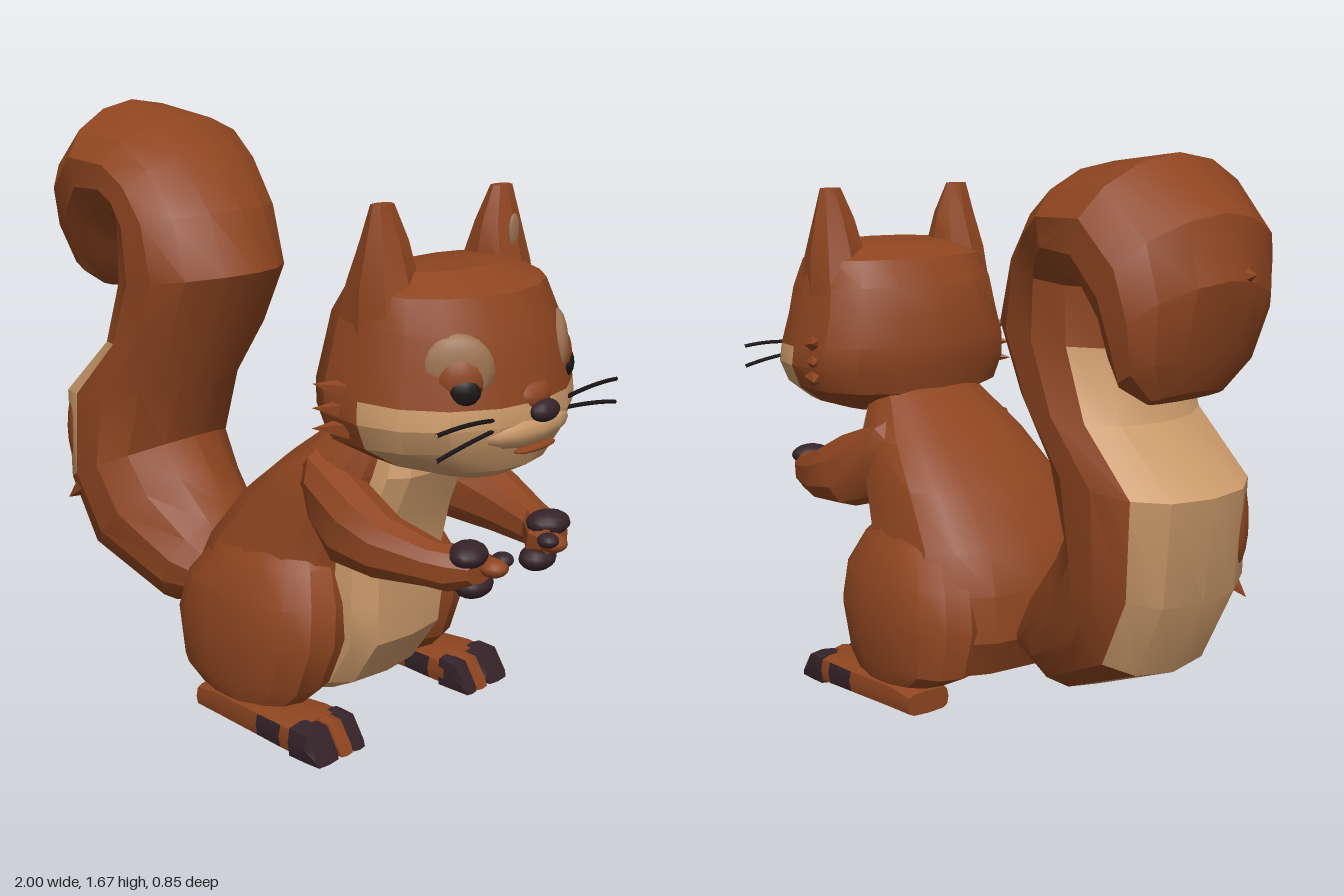
import * as THREE from 'three';
import { toCreasedNormals } from 'three/addons/utils/BufferGeometryUtils.js';

const mat = (name, color) => {
  const m = new THREE.MeshStandardMaterial({ color });
  m.name = name;
  return m;
};

export function createModel() {
  const fur = mat('russet fur', 0x8e4520);
  const cream = mat('cream fur', 0xcb9a6a);
  const dark = mat('dark paw', 0x35232a);
  const black = mat('whisker black', 0x1c1618);
  const ring = mat('eye ring', 0x9c7250);
  const model = new THREE.Group();

  const add = (name, geometry, material, parent = model) => {
    const mesh = new THREE.Mesh(geometry, material);
    mesh.name = name;
    parent.add(mesh);
    return mesh;
  };

  // Skin over sections [frontX, frontY, backX, backY, zCentre, halfWidth].
  // power and backPower set how boxy the front and back halves are;
  // pick(i, t) is true where the band i at angle t takes the second colour.
  function loft(name, sections, { sides = 14, power = 0.85, backPower = power, base = fur, alt = cream, pick = () => false, parent = model } = {}) {
    const rings = sections.map(([ax, ay, bx, by, zc, w]) => {
      const pts = [];
      for (let j = 0; j <= sides; j++) {
        const t = (j % sides) / sides * Math.PI * 2;
        const soft = (v) => Math.sign(v) * Math.abs(v) ** (Math.cos(t) < 0 ? backPower : power);
        const c = soft(Math.cos(t)) / 2;
        pts.push([(ax + bx) / 2 + c * (ax - bx), (ay + by) / 2 + c * (ay - by), zc + w * soft(Math.sin(t))]);
      }
      return pts;
    });
    const mid = ([ax, ay, bx, by, zc]) => [(ax + bx) / 2, (ay + by) / 2, zc];
    const last = rings.length - 1;
    const faces = [[], []];
    for (let j = 0; j < sides; j++) {
      const t = (j + 0.5) / sides * Math.PI * 2;
      for (let i = 0; i < last; i++) {
        const [a, b, c, d] = [rings[i][j], rings[i + 1][j], rings[i + 1][j + 1], rings[i][j + 1]];
        faces[pick(i, t) ? 1 : 0].push(a, b, c, a, c, d);
      }
      faces[pick(-1, t) ? 1 : 0].push(mid(sections[0]), rings[0][j], rings[0][j + 1]);
      faces[pick(last, t) ? 1 : 0].push(mid(sections[last]), rings[last][j + 1], rings[last][j]);
    }
    const g = new THREE.BufferGeometry();
    g.setAttribute('position', new THREE.Float32BufferAttribute(faces.flat(2), 3));
    g.addGroup(0, faces[0].length, 0);
    if (faces[1].length) g.addGroup(faces[0].length, faces[1].length, 1);
    return add(name, toCreasedNormals(g, 0.45), [base, alt], parent);
  }

  // Rounded lump
  function blob(name, material, pos, radii, rotY = 0, parent = model) {
    const mesh = add(name, new THREE.SphereGeometry(1, 14, 10), material, parent);
    mesh.position.set(...pos);
    mesh.scale.set(...radii);
    mesh.rotation.y = rotY;
    return mesh;
  }

  // Pointed tuft of fur from a base point to a tip
  function tuft(name, base, tip, r, parent = model) {
    const a = new THREE.Vector3(...base), d = new THREE.Vector3(...tip).sub(a);
    const g = new THREE.ConeGeometry(r, d.length(), 5).toNonIndexed();
    g.computeVertexNormals();
    const mesh = add(name, g, fur, parent);
    mesh.position.copy(a).addScaledVector(d, 0.5);
    mesh.quaternion.setFromUnitVectors(new THREE.Vector3(0, 1, 0), d.normalize());
  }

  // Broad back and flanks
  loft('body', [
    [0.34, 0.09, 0.03, 0.1, 0, 0.28], [0.4, 0.14, -0.07, 0.13, 0, 0.34], [0.46, 0.27, -0.125, 0.24, 0, 0.37],
    [0.47, 0.4, -0.115, 0.38, 0, 0.365], [0.47, 0.52, -0.07, 0.5, 0, 0.33], [0.52, 0.65, 0.06, 0.66, 0, 0.3],
    [0.57, 0.78, 0.2, 0.78, 0, 0.26], [0.58, 0.9, 0.38, 0.92, 0, 0.18],
  ], { sides: 16, power: 0.74 });

  // Cream belly and chest
  loft('belly', [
    [0.36, 0.075, 0.06, 0.085, 0, 0.17], [0.46, 0.13, 0.12, 0.13, 0, 0.2], [0.55, 0.27, 0.2, 0.27, 0, 0.21],
    [0.56, 0.4, 0.2, 0.4, 0, 0.22], [0.555, 0.52, 0.2, 0.52, 0, 0.21], [0.59, 0.65, 0.3, 0.65, 0, 0.19],
    [0.64, 0.78, 0.35, 0.78, 0, 0.18], [0.62, 0.88, 0.42, 0.88, 0, 0.15],
  ], { sides: 12, power: 0.65, base: cream });

  // Head with cream jaw and cheeks
  loft('head', [
    [0.84, 0.815, 0.6, 0.82, 0, 0.12], [0.92, 0.86, 0.47, 0.86, 0, 0.25], [0.95, 0.93, 0.38, 0.91, 0, 0.345],
    [0.965, 0.99, 0.36, 0.99, 0, 0.375], [0.96, 1.04, 0.355, 1.06, 0, 0.37], [0.935, 1.14, 0.37, 1.15, 0, 0.345],
    [0.915, 1.22, 0.39, 1.24, 0, 0.33], [0.87, 1.31, 0.44, 1.32, 0, 0.3], [0.77, 1.365, 0.52, 1.355, 0, 0.2],
  ], { sides: 16, power: 1, backPower: 0.82, pick: (i, t) => i < 4 && Math.cos(t) > 0 });

  // Muzzle, nose and mouth
  blob('muzzle', cream, [0.885, 0.965, 0], [0.09, 0.06, 0.19]);
  blob('noseBridge', fur, [0.9, 1.05, 0], [0.068, 0.055, 0.085]);
  blob('nose', dark, [0.968, 1.015, -0.005], [0.03, 0.03, 0.052]);
  blob('mouth', fur, [0.945, 0.914, 0], [0.022, 0.01, 0.085]);

  for (const s of [1, -1]) {
    const side = new THREE.Group();
    side.name = s > 0 ? 'positiveZSide' : 'negativeZSide';
    model.add(side);
    const parent = side;

    // Haunch
    loft('haunch', [
      [0.37, 0.08, 0.02, 0.1, 0.29 * s, 0.1], [0.44, 0.15, -0.06, 0.14, 0.27 * s, 0.135],
      [0.49, 0.29, -0.09, 0.28, 0.26 * s, 0.15], [0.48, 0.4, -0.06, 0.4, 0.245 * s, 0.15],
      [0.43, 0.5, 0.02, 0.5, 0.215 * s, 0.13], [0.35, 0.58, 0.12, 0.58, 0.18 * s, 0.1],
    ], { parent });

    // Foot with dark pad and toes
    loft('foot', [
      [0.06, 0.01, 0.06, 0.08, 0.31 * s, 0.075], [0.14, 0.01, 0.14, 0.1, 0.31 * s, 0.085],
      [0.33, 0.01, 0.33, 0.1, 0.32 * s, 0.09], [0.43, 0.01, 0.43, 0.105, 0.32 * s, 0.1],
      [0.49, 0.01, 0.49, 0.1, 0.32 * s, 0.1],
    ], { parent, power: 0.5, sides: 12, alt: dark, pick: (i, t) => i === 2 && Math.cos(t) > -0.3 });
    [[0.25, 0.028, dark], [0.3, 0.028, fur], [0.375, 0.05, dark]].forEach(([z, w, m]) => {
      loft('toe', [
        [0.47, 0.008, 0.47, 0.103, z * s, w], [0.53, 0.008, 0.53, 0.1, z * s, w], [0.58, 0.01, 0.56, 0.05, z * s, w * 0.9],
      ], { parent, power: 0.4, sides: 8, base: m });
    });

    // Arm, paw and fingers
    loft('arm', [
      [0.36, 0.64, 0.29, 0.75, 0.2 * s, 0.04], [0.44, 0.57, 0.38, 0.84, 0.205 * s, 0.09],
      [0.51, 0.55, 0.58, 0.765, 0.25 * s, 0.09], [0.66, 0.545, 0.67, 0.715, 0.255 * s, 0.08],
      [0.8, 0.55, 0.8, 0.67, 0.22 * s, 0.06], [0.85, 0.54, 0.86, 0.665, 0.18 * s, 0.075], [0.91, 0.57, 0.91, 0.645, 0.16 * s, 0.06],
    ], { parent, sides: 10 });
    blob('upperFinger', dark, [0.875, 0.645, 0.175 * s], [0.052, 0.035, 0.065], 0.3 * s, side);
    blob('pointingFinger', fur, [0.925, 0.61, 0.13 * s], [0.04, 0.026, 0.04], 0, side);
    blob('fingertip', dark, [0.93, 0.625, 0.1 * s], [0.03, 0.02, 0.03], 0, side);
    blob('lowerFinger', dark, [0.87, 0.552, 0.14 * s], [0.046, 0.036, 0.062], 0, side);

    // Ear
    loft('ear', [
      [0.74, 1.18, 0.5, 1.18, 0.265 * s, 0.065], [0.71, 1.33, 0.53, 1.33, 0.235 * s, 0.09],
      [0.675, 1.44, 0.57, 1.44, 0.235 * s, 0.068], [0.645, 1.535, 0.6, 1.535, 0.245 * s, 0.036],
    ], { parent, sides: 8 });

    // Eye
    const turn = -0.75 * s;
    blob('eyePatch', ring, [0.845, 1.135, 0.21 * s], [0.034, 0.097, 0.1], turn, side);
    blob('iris', fur, [0.857, 1.11, 0.213 * s], [0.035, 0.07, 0.066], turn, side);
    blob('pupil', black, [0.87, 1.088, 0.213 * s], [0.032, 0.045, 0.048], turn, side);

    // Whiskers
    [[1.0, 1.035, 1.02], [0.985, 0.985, 0.955]].forEach(([y0, y1, y2]) => {
      const curve = new THREE.QuadraticBezierCurve3(
        new THREE.Vector3(0.92, y0, 0.1 * s), new THREE.Vector3(0.94, y1, 0.25 * s), new THREE.Vector3(0.93, y2, 0.385 * s));
      add('whisker', new THREE.TubeGeometry(curve, 10, 0.006, 5), black, side);
    });

    // Cheek tufts
    [[1.06, 1.075], [1.01, 1.01], [0.96, 0.955]].forEach(([y0, y1]) =>
      tuft('cheekTuft', [0.6, y0, 0.33 * s], [0.52, y1, 0.39 * s], 0.035, side));
  }

  // Pale fleck inside one ear
  blob('innerEar', ring, [0.685, 1.42, -0.225], [0.008, 0.045, 0.022]);

  // Curled tail, cream along the lower back, reaching further round on one side
  const creamTail = (i, t) => {
    if (i < 0 || i > 5) return false;
    if (i < 2) return Math.cos(t) < -0.85;
    return Math.cos(t) < (i > 2 && i < 5 && Math.sin(t) > 0 ? -0.4 : -0.6);
  };
  loft('tail', [
    [-0.11, 0.31, -0.13, 0.19, 0, 0.12], [-0.2, 0.46, -0.34, 0.14, 0, 0.21], [-0.29, 0.58, -0.65, 0.26, 0, 0.26],
    [-0.35, 0.67, -0.76, 0.48, 0, 0.275], [-0.28, 0.85, -0.8, 0.78, -0.01, 0.275], [-0.19, 1.03, -0.62, 0.96, -0.03, 0.265],
    [-0.1, 1.22, -0.555, 1.16, -0.03, 0.27], [-0.18, 1.4, -0.55, 1.32, -0.04, 0.275], [-0.34, 1.56, -0.555, 1.33, -0.07, 0.29],
    [-0.5, 1.65, -0.58, 1.33, -0.1, 0.31], [-0.76, 1.68, -0.65, 1.3, -0.12, 0.31], [-0.94, 1.54, -0.7, 1.23, -0.14, 0.29],
    [-0.985, 1.38, -0.73, 1.15, -0.16, 0.26], [-0.95, 1.2, -0.77, 1.1, -0.18, 0.22], [-0.9, 1.1, -0.83, 1.065, -0.19, 0.13],
  ], { sides: 14, power: 1.1, backPower: 0.85, pick: creamTail });

  // Loose fur on the tail
  blob('tailPatch', fur, [-0.7, 0.67, 0.185], [0.08, 0.13, 0.035], -0.8);
  tuft('tailTuft', [-0.6, 0.52, 0.21], [-0.7, 0.44, 0.235], 0.05);
  tuft('tailTuft', [-0.58, 0.58, 0.22], [-0.66, 0.46, 0.235], 0.05);
  tuft('tailTuft', [-0.92, 1.38, -0.09], [-1.0, 1.39, -0.09], 0.05);

  return model;
}
